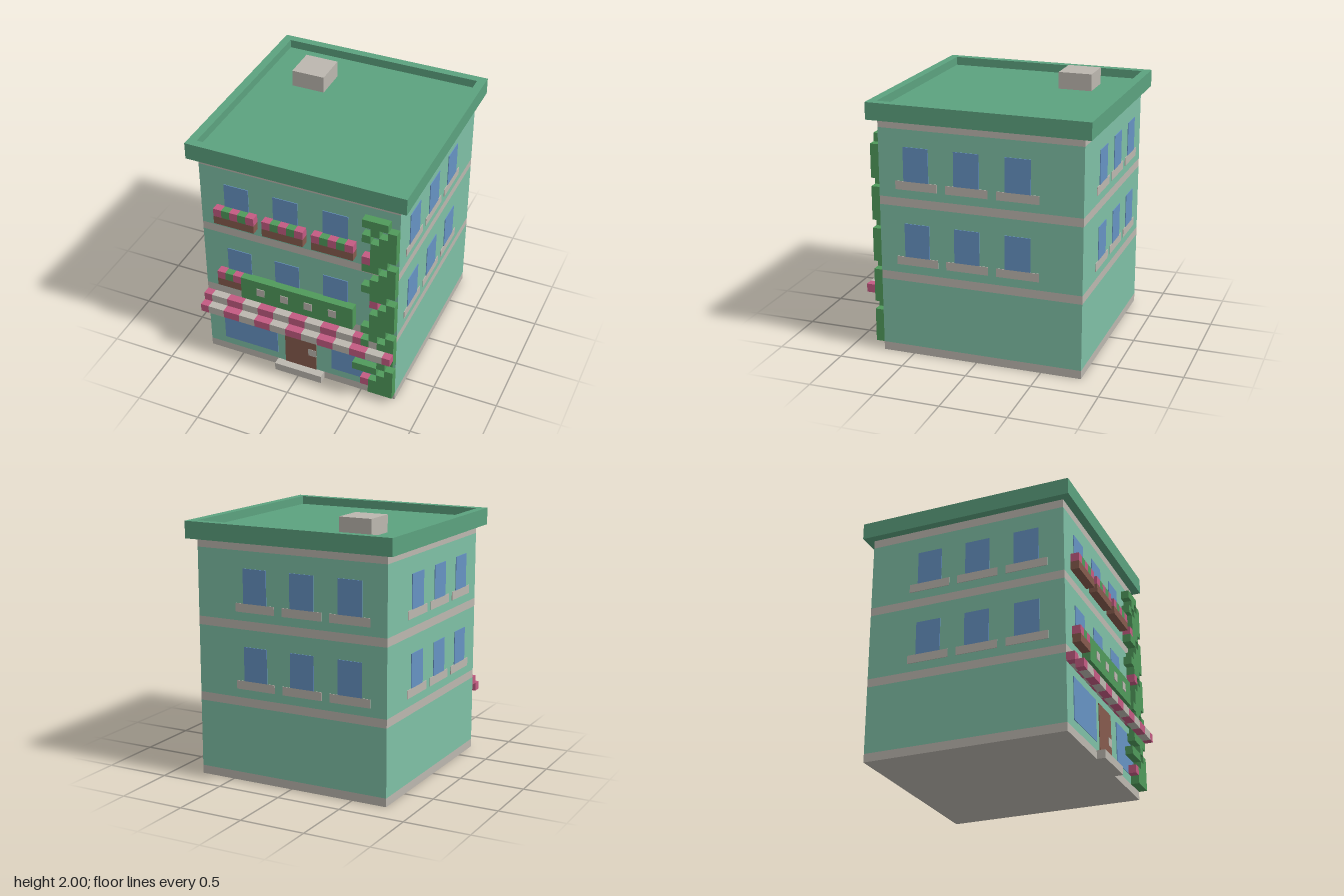
import * as THREE from 'three';

const U = 2 / 31;          // one block
const FRONT = 11.5, BACK = -12.5, HALF = 12;
const THIN = 0.08;         // painted plate thickness, in blocks

const mat = (name, color) => {
  const m = new THREE.MeshStandardMaterial({ color });
  m.name = name;
  return m;
};

export function createModel() {
  const M = {
    wall: mat('mint wall', 0x7fc0a6),
    roof: mat('roof green', 0x5ca27f),
    stone: mat('pale stone', 0xbcb7af),
    glass: mat('blue glass', 0x6693c3),
    pink: mat('pink', 0xc35b82),
    wood: mat('brown wood', 0x865b4d),
    leaf: mat('leaf green', 0x509a5b),
  };
  const model = new THREE.Group();
  model.name = 'shopHouse';

  const group = (name) => {
    const g = new THREE.Group();
    g.name = name;
    model.add(g);
    return g;
  };
  // Box given by its limits in blocks
  const box = (parent, name, material, x0, x1, y0, y1, z0, z1) => {
    const geo = new THREE.BoxGeometry((x1 - x0) * U, (y1 - y0) * U, (z1 - z0) * U);
    geo.translate((x0 + x1) / 2 * U, (y0 + y1) / 2 * U, (z0 + z1) / 2 * U);
    const mesh = new THREE.Mesh(geo, material);
    mesh.name = name;
    parent.add(mesh);
    return mesh;
  };
  const frontPlate = (parent, name, material, x0, x1, y0, y1, z = FRONT) =>
    box(parent, name, material, x0, x1, y0, y1, z, z + THIN);

  // Walls and stone bands, stacked in layers
  const walls = group('walls');
  const levels = [0, 1, 9, 10, 18, 19, 27, 28];
  for (let i = 0; i < levels.length - 1; i++) {
    const band = i % 2 === 0;
    box(walls, band ? 'stoneBand' : 'wall', band ? M.stone : M.wall,
      -HALF, HALF, levels[i], levels[i + 1], BACK, FRONT);
  }

  // Flat roof with a raised rim and a chimney
  const roof = group('roof');
  box(roof, 'roofSlab', M.roof, -13, 13, 28, 29, -13.5, 12.5);
  for (const [x0, x1, z0, z1] of [[-13, 13, 11.5, 12.5], [-13, 13, -13.5, -12.5],
    [-13, -12, -12.5, 11.5], [12, 13, -12.5, 11.5]])
    box(roof, 'roofRim', M.roof, x0, x1, 29, 30, z0, z1);
  box(roof, 'chimney', M.stone, -8, -4, 29, 31, -8.5, -4.5);

  // Upper windows on all four sides, with sills on the sides and back
  const windows = group('upperWindows');
  for (const y of [12, 21]) {
    for (const x of [-9, -3, 3]) {
      frontPlate(windows, 'window', M.glass, x, x + 3, y, y + 4);
      box(windows, 'window', M.glass, x, x + 3, y, y + 4, BACK - THIN, BACK);
      box(windows, 'sill', M.stone, x - 1, x + 4, y - 1, y, BACK - THIN, BACK);
    }
    for (const z of [-6.5, -0.5, 5.5]) {
      for (const [a, b] of [[HALF, HALF + THIN], [-HALF - THIN, -HALF]]) {
        box(windows, 'window', M.glass, a, b, y, y + 4, z, z + 3);
        box(windows, 'sill', M.stone, a, b, y - 1, y, z - 1, z + 4);
      }
    }
  }

  // Shop front: display windows, door, step
  const shop = group('shopFront');
  frontPlate(shop, 'shopWindow', M.glass, -10, -3, 2, 7);
  frontPlate(shop, 'shopWindow', M.glass, 4, 10, 2, 7);
  frontPlate(shop, 'door', M.wood, -2, 2, 1, 7);
  frontPlate(shop, 'doorHandle', M.stone, 1, 2, 3, 4, FRONT + THIN / 2);
  box(shop, 'doorStep', M.stone, -3, 3, 0, 1, FRONT, 12.5);

  // Striped awning in two steps, the upper one interrupted by the ivy
  const awning = group('awning');
  for (let i = 0; i < 13; i++) {
    const m = i % 2 ? M.stone : M.pink;
    const x0 = Math.max(2 * i - 13, -HALF), x1 = Math.min(2 * i - 11, HALF);
    box(awning, 'awningLower', m, x0, x1, 7, 8, 12.5, 13.5);
    if (x0 < 8) box(awning, 'awningUpper', m, x0, Math.min(x1, 8), 8, 9, FRONT, 12.5);
  }
  box(awning, 'awningUpper', M.stone, 9, 10, 8, 9, FRONT, 12.5);

  // Sign board with four dots
  const sign = group('signBoard');
  box(sign, 'board', M.leaf, -7, 7, 10, 13, FRONT, 12.5);
  for (const x of [-5, -2, 1, 4]) frontPlate(sign, 'dot', M.stone, x, x + 1, 11, 12, 12.5);

  // Flower boxes: alternating blooms and leaves over a trough
  const planters = group('flowerBoxes');
  for (const [x, y, n] of [[-10, 20, 5], [-4, 20, 5], [2, 20, 5], [-10, 11, 3]]) {
    box(planters, 'trough', M.wood, x, x + n, y, y + 1, FRONT, 12.5);
    for (let i = 0; i < n; i++)
      box(planters, i % 2 ? 'leaves' : 'bloom', i % 2 ? M.leaf : M.pink,
        x + i, x + i + 1, y + 1, y + 2, FRONT, 12.5);
  }

  // Climbing ivy: each column skips every fifth block
  const ivy = group('ivy');
  const leafAt = (x, y) => {
    if (x === 11) return y < 25 && y % 5 !== 0;
    if (x === 10) return y % 5 !== 4;
    if (x === 9) return y % 5 !== 3 && y !== 5 && y !== 14;
    if (x === 8) return [4, 6, 8, 10, 16, 19, 23, 25].includes(y);
    return y === 4;
  };
  for (let x = 7; x < 12; x++) {
    let start = -1;
    for (let y = 1; y <= 26; y++) {
      const on = y < 26 && leafAt(x, y);
      if (on && start < 0) start = y;
      if (!on && start >= 0) {
        box(ivy, 'ivyRun', M.leaf, x, x + 1, start, y, FRONT, 12.5);
        start = -1;
      }
    }
  }
  for (const [x, y] of [[8, 2], [9, 14], [8, 20]])
    box(ivy, 'ivyFlower', M.pink, x, x + 1, y, y + 1, FRONT, 12.5);

  return model;
}
